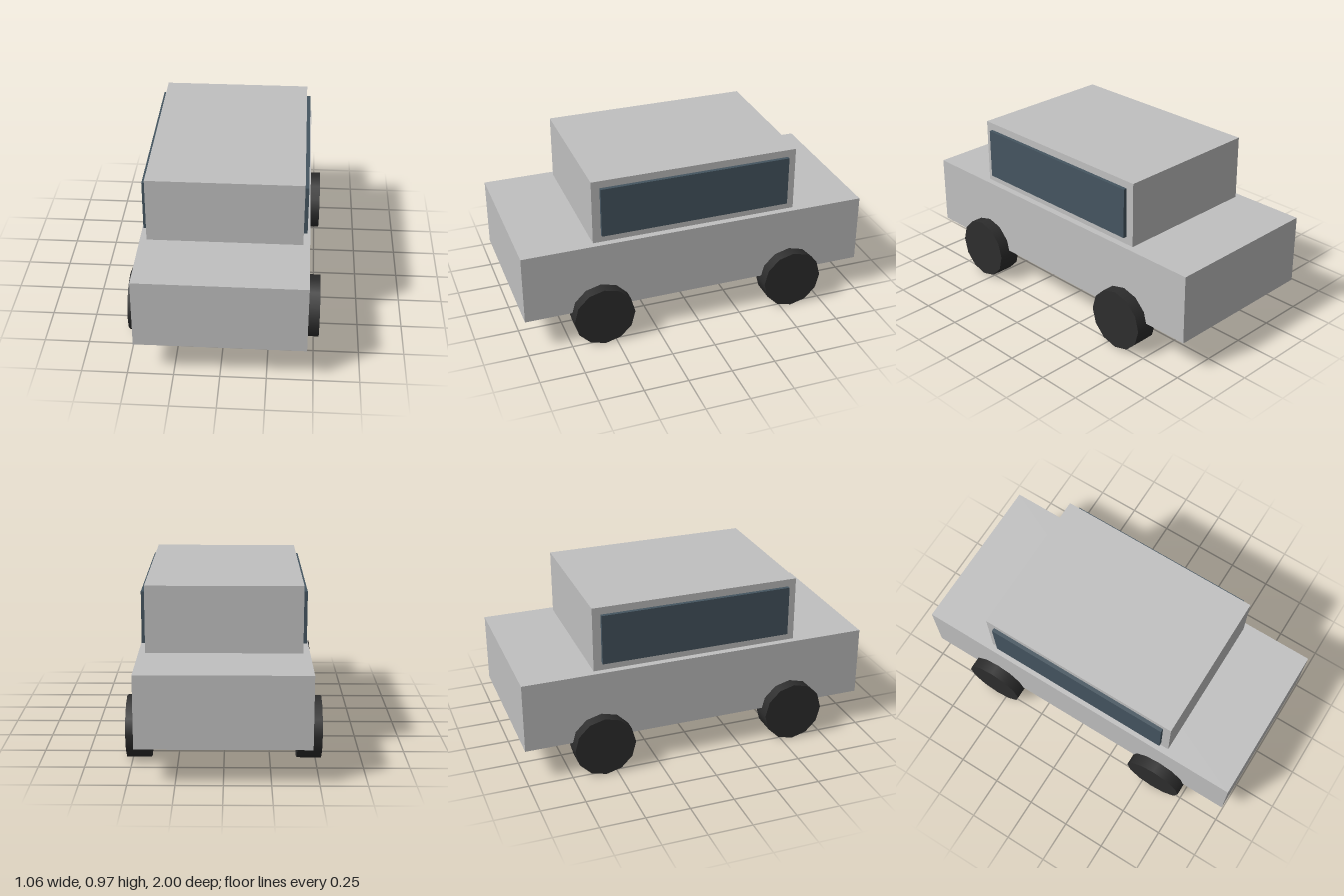
import * as THREE from 'three';

function material(name, color) {
  const m = new THREE.MeshStandardMaterial({ color });
  m.name = name;
  return m;
}

export function createModel() {
  const paint = material('silver paint', 0xc0c0c0);
  const glass = material('blue grey glass', 0x455560);
  const rubber = material('dark rubber', 0x2d2d2d);

  const car = new THREE.Group();
  car.name = 'car';

  function add(name, geometry, mat, x, y, z) {
    const mesh = new THREE.Mesh(geometry, mat);
    mesh.name = name;
    mesh.position.set(x, y, z);
    car.add(mesh);
  }

  // Lower body and the cabin standing on it
  add('body', new THREE.BoxGeometry(0.924, 0.398, 2), paint, 0, 0.397, 0);
  add('cabin', new THREE.BoxGeometry(0.85, 0.37, 1.184), paint, 0, 0.781, 0);

  // Side windows stand proud of the cabin; wheels are sunk into the body
  const windowShape = new THREE.BoxGeometry(0.044, 0.285, 1.09);
  const wheelShape = new THREE.CylinderGeometry(0.174, 0.174, 0.133, 12).rotateZ(Math.PI / 2);
  for (const [side, s] of [['left', 1], ['right', -1]]) {
    add(side + 'Window', windowShape, glass, s * 0.424, 0.782, 0);
    for (const [end, e] of [['Front', 1], ['Rear', -1]]) {
      add(side + end + 'Wheel', wheelShape, rubber, s * 0.462, 0.175, e * 0.565);
    }
  }
  return car;
}
